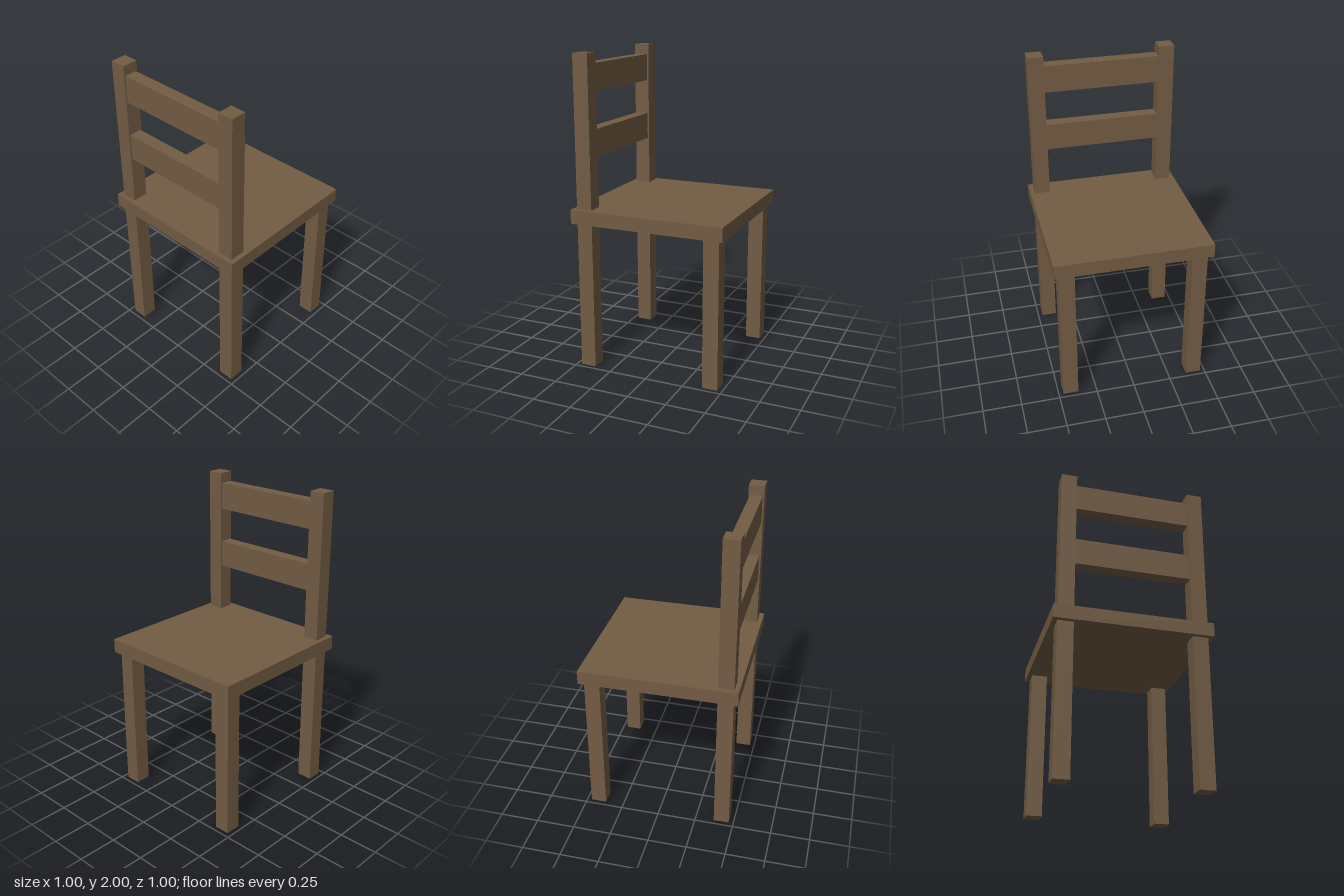
import * as THREE from 'three';

export function createModel() {
  const group = new THREE.Group();
  const wood = new THREE.MeshStandardMaterial({ color: 0x735c44 });
  wood.name = 'brown wood';

  // Box standing between two heights, centred on x and z
  function board(name, width, depth, bottom, top, x = 0, z = 0) {
    const mesh = new THREE.Mesh(new THREE.BoxGeometry(width, top - bottom, depth), wood);
    mesh.name = name;
    mesh.position.set(x, (bottom + top) / 2, z);
    group.add(mesh);
  }

  const seatBottom = 0.955, seatTop = 1.045;
  const post = 0.1, inset = 0.42;

  board('seat', 1, 1, seatBottom, seatTop);

  // Legs at the four corners, and the posts that carry the backrest
  for (const [side, x] of [['left', inset], ['right', -inset]]) {
    board(`${side}LegByBackrest`, post, post, 0, seatBottom, x, inset);
    board(`${side}LegOpposite`, post, post, 0, seatBottom, x, -inset);
    board(`${side}BackrestPost`, post, post, seatTop, 2, x, inset);
  }

  // Backrest slats between the posts
  const slatLength = 2 * inset - post;
  board('lowerSlat', slatLength, 0.08, 1.36, 1.535, 0, inset);
  board('upperSlat', slatLength, 0.08, 1.76, 1.935, 0, inset);

  return group;
}
